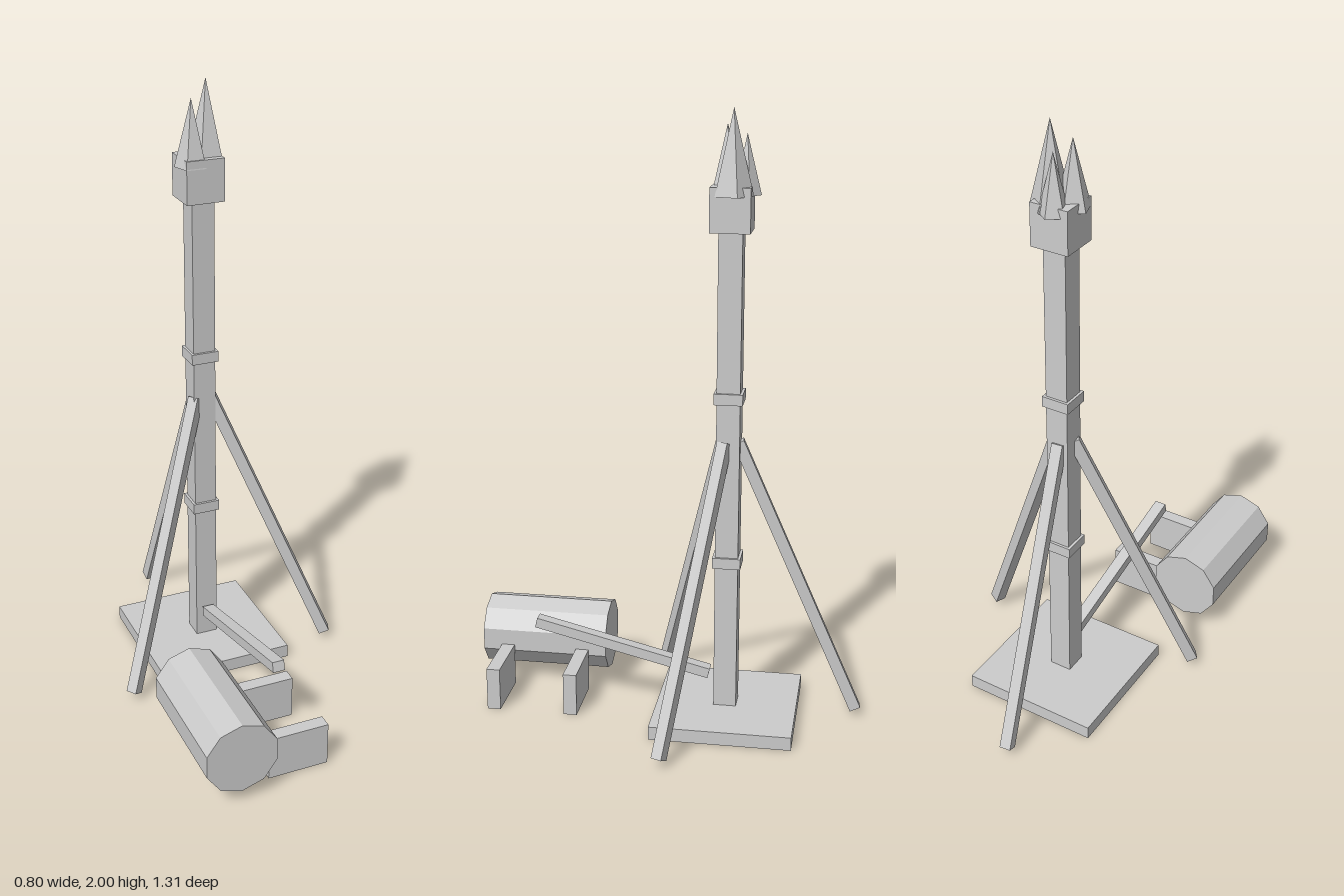
import * as THREE from 'three';

export function createModel() {
  const model = new THREE.Group();
  const grey = new THREE.MeshStandardMaterial({ color: 0xcccccc, flatShading: true });
  const CX = -0.025, CZ = -0.207; // post axis

  const add = (name, geometry, x = 0, y = 0, z = 0) => {
    const mesh = new THREE.Mesh(geometry, grey);
    mesh.name = name;
    mesh.position.set(x, y, z);
    model.add(mesh);
    return mesh;
  };
  const box = (name, w, h, d, x, y, z) => add(name, new THREE.BoxGeometry(w, h, d), x, y, z);

  // Square beam running between two points, one pair of sides kept level
  const beam = (name, from, to, w, t) => {
    const mesh = box(name, w, t, from.distanceTo(to), 0, 0, 0);
    mesh.position.copy(from).add(to).multiplyScalar(0.5);
    mesh.lookAt(to);
  };

  // Base slab, post, bands and head block
  box('base', 0.462, 0.045, 0.464, -0.028, 0.0225, -0.212);
  box('post', 0.075, 1.6, 0.075, CX, 0.84, CZ);
  for (const y of [0.553, 1.103]) box('band', 0.092, 0.036, 0.092, CX, y, CZ);
  box('headBlock', 0.126, 0.138, 0.126, CX, 1.696, CZ);

  // Five-sided spikes: x, z, radius, tip height
  for (const [x, z, r, tip] of [
    [0.003, -0.212, 0.064, 2.0],
    [-0.055, -0.187, 0.054, 1.948],
    [-0.03, -0.25, 0.046, 1.922],
  ]) {
    const h = tip - 1.737;
    add('spike', new THREE.ConeGeometry(r, h, 5).rotateY(Math.PI), x, 1.737 + h / 2, z);
  }

  // Three splayed legs, given by their ground direction
  for (const [dx, dz] of [[0.415, 0.17], [-0.36, 0.26], [-0.052, -0.453]]) {
    const dir = new THREE.Vector3(dx, 0, dz).normalize();
    const at = (r, y) => new THREE.Vector3(CX, y, CZ).addScaledVector(dir, r);
    beam('leg', at(0.03, 0.956), at(0.432, 0.029), 0.037, 0.037);
  }

  // Tilted arm in front of the post
  beam('arm', new THREE.Vector3(-0.026, 0.147, -0.15), new THREE.Vector3(-0.026, 0.29, 0.437), 0.04, 0.034);

  // Ten-sided drum lying along z, with two upright plates beside it
  add('drum', new THREE.CylinderGeometry(0.121, 0.121, 0.433, 10).rotateX(Math.PI / 2), -0.244, 0.161, 0.441);
  for (const z of [0.307, 0.57]) box('supportPlate', 0.202, 0.145, 0.045, -0.026, 0.0725, z);

  return model;
}
